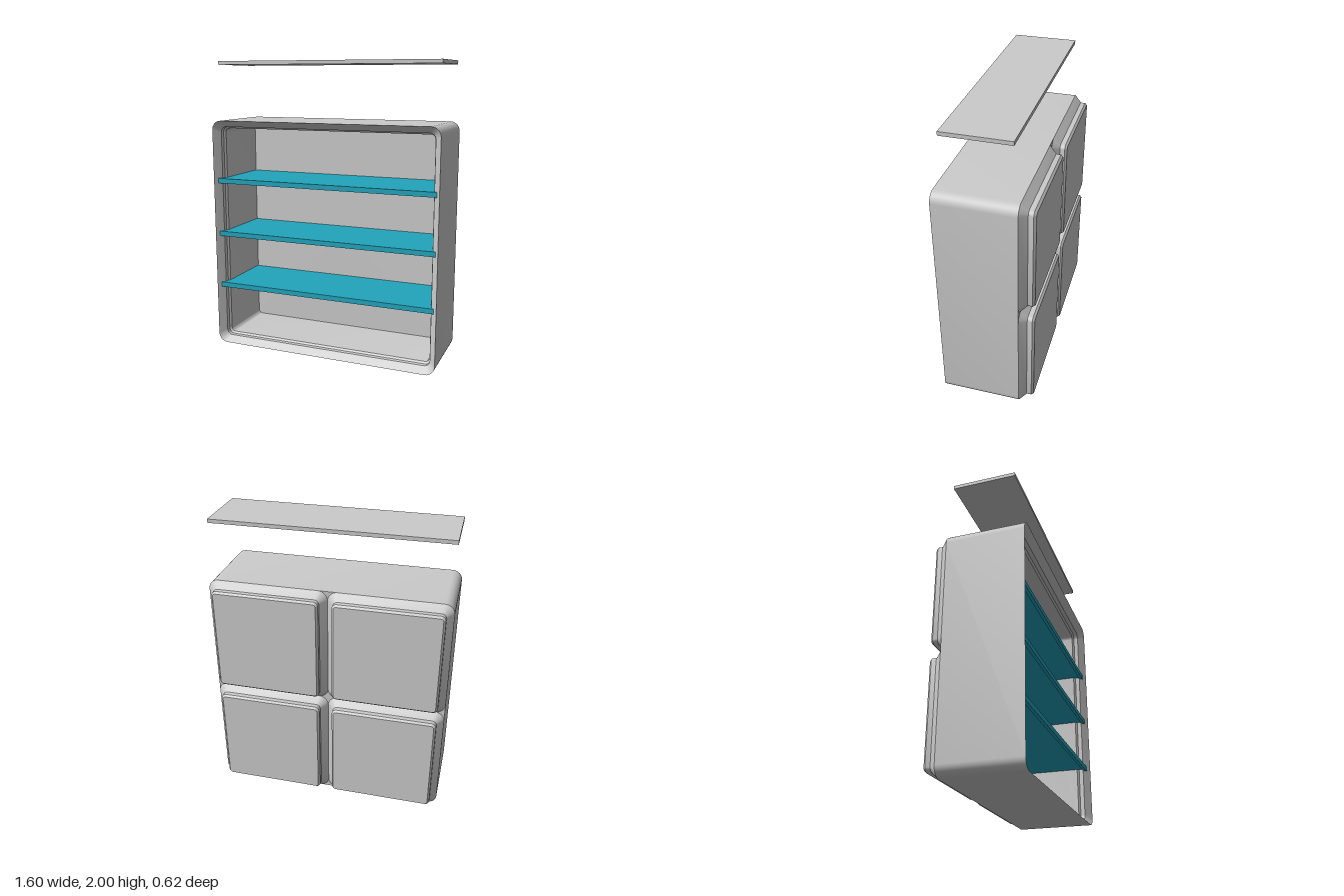
import * as THREE from 'three';
import { toCreasedNormals } from 'three/addons/utils/BufferGeometryUtils.js';

const grey = new THREE.MeshStandardMaterial({ color: 0xcccccc });
const teal = new THREE.MeshStandardMaterial({ color: 0x22a5bd });

// Rounded square outline, counter-clockwise seen from +z
function ring(half, radius, z, steps = 8) {
  const points = [];
  for (let c = 0; c < 4; c++) {
    const mid = Math.PI / 4 + c * Math.PI / 2;
    const cx = Math.sign(Math.cos(mid)) * (half - radius);
    const cy = Math.sign(Math.sin(mid)) * (half - radius);
    for (let i = 0; i <= steps; i++) {
      const a = c * Math.PI / 2 + (i / steps) * Math.PI / 2;
      points.push([cx + radius * Math.cos(a), cy + radius * Math.sin(a), z]);
    }
  }
  return points;
}

// Joins rounded squares [half, radius, z] in order and closes both ends
function loft(sections) {
  const rings = sections.map(s => ring(...s));
  const n = rings[0].length;
  const pos = [];
  const tri = (...corners) => corners.forEach(p => pos.push(...p));
  const first = rings[0], last = rings[rings.length - 1];
  for (let i = 0; i < n; i++) {
    const j = (i + 1) % n;
    tri([0, 0, first[0][2]], first[j], first[i]);
    for (let k = 0; k + 1 < rings.length; k++) {
      const a = rings[k], b = rings[k + 1];
      tri(a[i], a[j], b[j]);
      tri(a[i], b[j], b[i]);
    }
    tri([0, 0, last[0][2]], last[i], last[j]);
  }
  const geometry = new THREE.BufferGeometry();
  geometry.setAttribute('position', new THREE.Float32BufferAttribute(pos, 3));
  return toCreasedNormals(geometry, Math.PI / 6);
}

function add(parent, name, geometry, material, x, y, z) {
  const mesh = new THREE.Mesh(geometry, material);
  mesh.name = name;
  mesh.position.set(x, y, z);
  parent.add(mesh);
  return mesh;
}

export function createModel() {
  const group = new THREE.Group();
  group.name = 'shelfCrate';

  // Open shell: outer wall, bevelled and stepped rim, inner wall and back
  add(group, 'shell', loft([
    [0.8, 0.065, -0.218], [0.8, 0.065, 0.31],
    [0.757, 0.04, 0.265], [0.757, 0.04, 0.235],
    [0.745, 0.03, 0.222], [0.745, 0.03, -0.195],
  ]), grey, 0, 0.8, 0);

  // Four raised stepped panels on the back
  const panel = loft([
    [0.343, 0.02, -0.31], [0.356, 0.033, -0.296],
    [0.356, 0.033, -0.264], [0.4, 0.065, -0.218],
  ]);
  for (const x of [-0.4, 0.4]) {
    for (const y of [0.4, 1.2]) add(group, 'backPanel', panel, grey, x, y, 0);
  }

  // Three shelves, each with a deeper front lip
  const plate = new THREE.BoxGeometry(1.56, 0.025, 0.455);
  const lip = new THREE.BoxGeometry(1.56, 0.034, 0.023);
  for (const top of [0.445, 0.82, 1.198]) {
    const shelf = new THREE.Group();
    shelf.name = 'shelf';
    shelf.position.y = top;
    add(shelf, 'shelfPlate', plate, teal, 0, -0.0125, 0.0375);
    add(shelf, 'shelfLip', lip, teal, 0, -0.017, 0.2765);
    group.add(shelf);
  }

  // Loose board floating above the shell
  add(group, 'looseBoard', new THREE.BoxGeometry(1.56, 0.025, 0.43), grey, 0, 1.9875, 0.023);

  return group;
}
